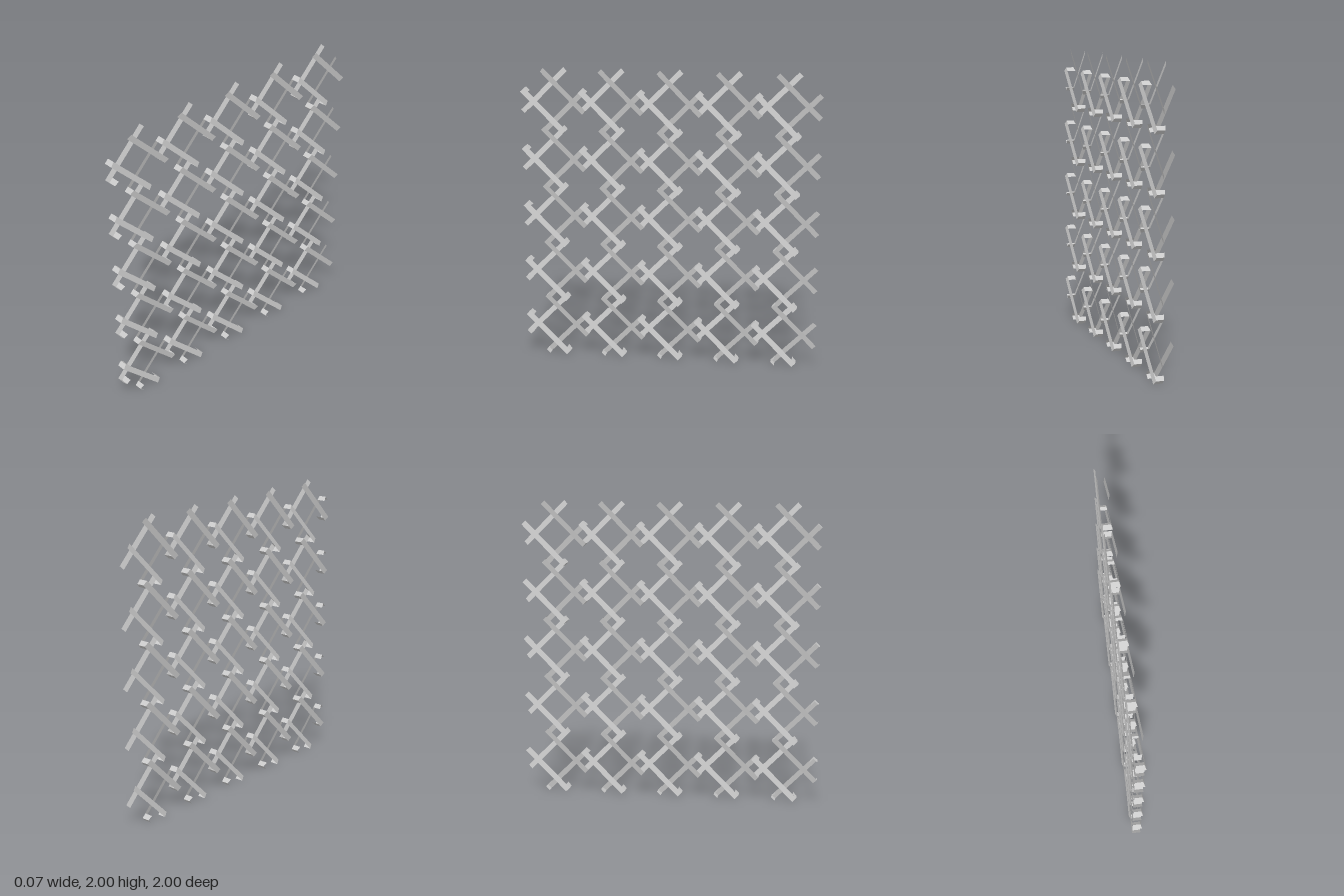
import * as THREE from 'three';

const PITCH = 0.39;    // spacing of the mesh cells
const CELLS = 5;
const REACH = 0.28;    // link centre to corner tip
const HALF = 0.198;    // half length of a strip
const WIDTH = 0.0354;  // strip width
const DROP = WIDTH * Math.SQRT1_2;
const OUT = 0.035;     // half depth of the whole mesh
const RIM = 0.026;     // half depth at the outer edge of a link
const OFFSET = 0.0955; // strip distance from its cell centre

// Flat four-cornered sheets, one per list of four points.
function sheets(...quads) {
  const points = quads.flatMap(([a, b, c, d]) => [a, b, c, a, c, d]);
  const geometry = new THREE.BufferGeometry();
  geometry.setAttribute('position', new THREE.Float32BufferAttribute(points.flat(), 3));
  geometry.computeVertexNormals();
  return geometry;
}

// Strip tilted slightly so that its rim edge (on the given side) lies deeper.
function stripGeometry(rimSide) {
  const inner = -rimSide * WIDTH / 2;
  const rim = rimSide * WIDTH / 2;
  return sheets([
    [-HALF, OUT, inner], [-HALF, RIM, rim], [HALF, RIM, rim], [HALF, OUT, inner],
  ]);
}

// Folded roof that joins the two layers, tip at the origin pointing up.
function foldGeometry() {
  return sheets(
    [[OUT, -DROP, DROP], [RIM, 0, 0], [-RIM, 0, 0], [-RIM, -DROP, DROP]],
    [[-OUT, -DROP, -DROP], [-RIM, 0, 0], [RIM, 0, 0], [RIM, -DROP, -DROP]],
  );
}

export function createModel() {
  const group = new THREE.Group();
  group.name = 'linkedMesh';
  const material = new THREE.MeshStandardMaterial({
    color: 0xcccccc, flatShading: true, side: THREE.DoubleSide,
  });

  const lowerStrip = stripGeometry(1);
  const upperStrip = stripGeometry(-1);
  const fold = foldGeometry();

  // side: +1 lies in the left (+x) layer, -1 in the right layer.
  // up: +1 sits above its cell centre, -1 below.
  const strips = [
    { name: 'leftLowerStrip', side: 1, up: -1, geometry: lowerStrip },
    { name: 'leftUpperStrip', side: 1, up: 1, geometry: upperStrip },
    { name: 'rightLowerStrip', side: -1, up: -1, geometry: lowerStrip },
    { name: 'rightUpperStrip', side: -1, up: 1, geometry: upperStrip },
  ];

  // Folds at the link corners: tip position in the cell, turn about x, mirroring.
  const h = PITCH / 2;
  const folds = [
    { name: 'topFold', y: REACH - h, z: h, turn: 0, flip: 1 },
    { name: 'bottomFold', y: h - REACH, z: h, turn: Math.PI, flip: 1 },
    { name: 'frontFold', y: -h, z: REACH - h, turn: Math.PI / 2, flip: -1 },
    { name: 'backFold', y: -h, z: h - REACH, turn: -Math.PI / 2, flip: -1 },
  ];

  for (let row = 0; row < CELLS; row++) {
    for (let col = 0; col < CELLS; col++) {
      const cell = new THREE.Group();
      cell.name = 'meshCell';
      cell.position.set(0, 1 + (row - 2) * PITCH, (col - 2) * PITCH);

      for (const { name, side, up, geometry } of strips) {
        const along = new THREE.Vector3(0, 1, side).normalize();
        const outward = new THREE.Vector3(side, 0, 0);
        const across = new THREE.Vector3().crossVectors(along, outward);
        const mesh = new THREE.Mesh(geometry, material);
        mesh.name = name;
        mesh.quaternion.setFromRotationMatrix(
          new THREE.Matrix4().makeBasis(along, outward, across));
        mesh.position.copy(across).multiplyScalar(up * OFFSET);
        cell.add(mesh);
      }

      for (const { name, y, z, turn, flip } of folds) {
        const mesh = new THREE.Mesh(fold, material);
        mesh.name = name;
        mesh.position.set(0, y, z);
        mesh.rotation.x = turn;
        mesh.scale.x = flip;
        cell.add(mesh);
      }
      group.add(cell);
    }
  }
  return group;
}
